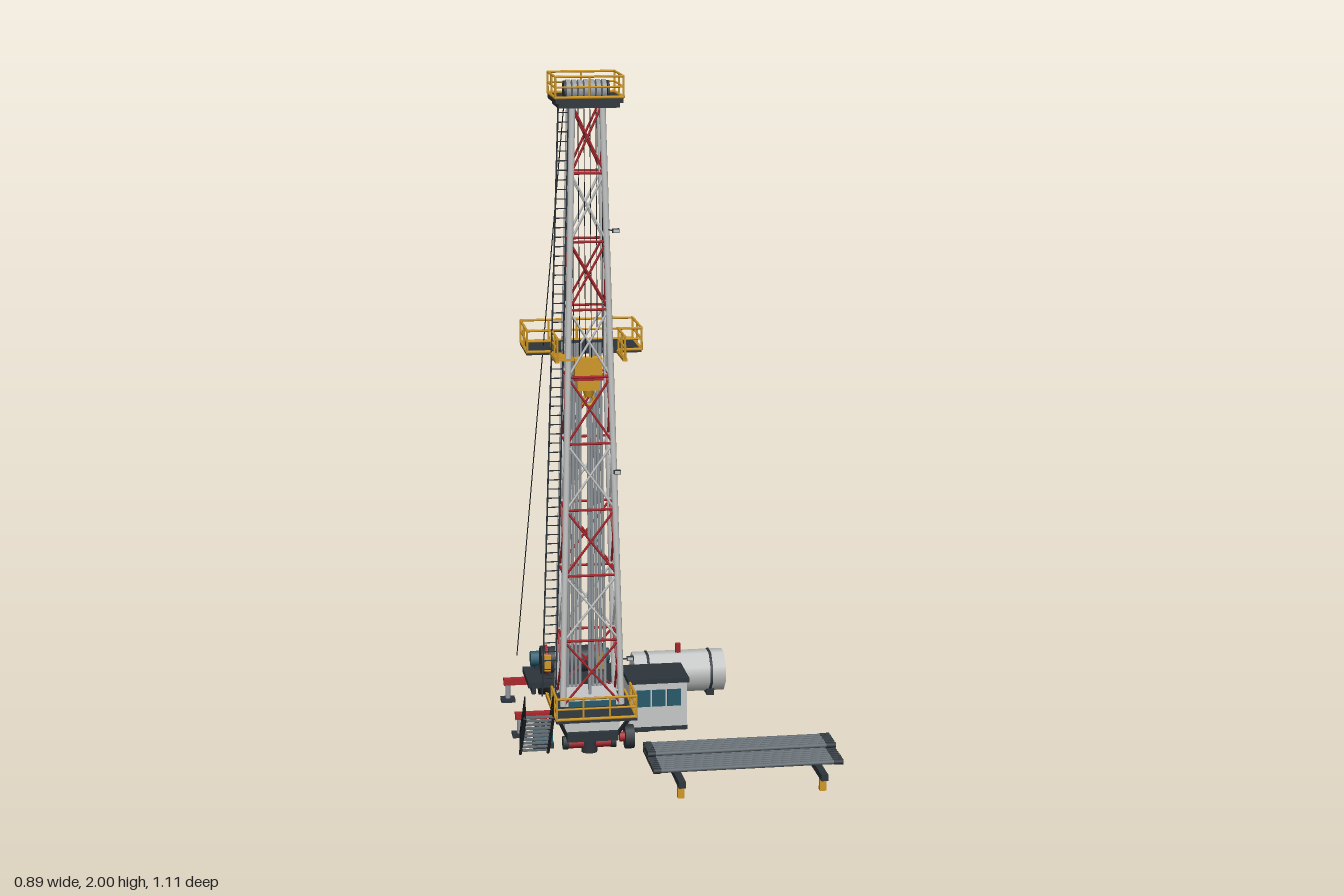
import * as THREE from 'three';

const paint = (name, color) => Object.assign(new THREE.MeshStandardMaterial({ color }), { name });
const M = {
  dark: paint('dark steel', 0x2d353b),
  light: paint('light grey paint', 0xc6c7c7),
  steel: paint('bright steel', 0x949a9f),
  gunmetal: paint('pipe gunmetal', 0x626b71),
  red: paint('red paint', 0xa8262c),
  yellow: paint('safety yellow', 0xd09826),
  teal: paint('teal machinery', 0x28596b),
  black: paint('black rope', 0x1b1d1f),
};
const V = (x, y, z) => new THREE.Vector3(x, y, z);
const UP = V(0, 1, 0);

function group(parent, name) {
  const g = new THREE.Group();
  g.name = name;
  parent.add(g);
  return g;
}
function put(parent, name, geo, mat, x = 0, y = 0, z = 0) {
  const m = new THREE.Mesh(geo, mat);
  m.name = name;
  m.position.set(x, y, z);
  parent.add(m);
  return m;
}
// Box given by its minimum and maximum corners
function box(parent, name, mat, x0, x1, y0, y1, z0, z1) {
  return put(parent, name, new THREE.BoxGeometry(x1 - x0, y1 - y0, z1 - z0), mat,
    (x0 + x1) / 2, (y0 + y1) / 2, (z0 + z1) / 2);
}
// Round bar between two points
function bar(parent, name, mat, a, b, r, sides = 6) {
  const d = b.clone().sub(a), mid = a.clone().add(b).multiplyScalar(0.5);
  const m = put(parent, name, new THREE.CylinderGeometry(r, r, d.length(), sides), mat, mid.x, mid.y, mid.z);
  m.quaternion.setFromUnitVectors(UP, d.normalize());
  return m;
}
// Cylinder lying along x
function drum(parent, name, mat, x0, x1, y, z, r, sides = 12) {
  const geo = new THREE.CylinderGeometry(r, r, x1 - x0, sides).rotateZ(Math.PI / 2).rotateX(Math.PI / sides);
  return put(parent, name, geo, mat, (x0 + x1) / 2, y, z);
}
// Guard rail along a path of [x, z] points
function railing(parent, path, y, h) {
  const g = group(parent, 'guardRail');
  for (let i = 0; i + 1 < path.length; i++) {
    const [ax, az] = path[i], [bx, bz] = path[i + 1];
    for (const [f, r] of [[0.05, 0.0045], [0.52, 0.0032], [1, 0.0038]])
      bar(g, 'rail', M.yellow, V(ax, y + h * f, az), V(bx, y + h * f, bz), r);
    const n = Math.max(1, Math.round(Math.hypot(bx - ax, bz - az) / 0.085));
    for (let k = 0; k <= n; k++) {
      const x = ax + (bx - ax) * k / n, z = az + (bz - az) * k / n;
      bar(g, 'post', M.yellow, V(x, y, z), V(x, y + h, z), 0.0034);
    }
  }
}

const CX = -0.235, CZ = 0.084, Y0 = 0.165, Y1 = 1.915;

function buildChassis(root) {
  const g = group(root, 'chassis');
  box(g, 'mainBeam', M.dark, -0.31, -0.16, 0.058, 0.085, -0.556, 0.17);
  for (const s of [-1, 1]) {
    const x = CX + s * 0.073;
    drum(g, 'wheel', M.black, x - 0.014, x + 0.014, 0.036, -0.49, 0.035, 16);
    drum(g, 'hub', M.steel, x - 0.016, x + 0.016, 0.036, -0.49, 0.013, 10);
  }
  // Outriggers with jacks and pads
  for (const z of [-0.44, -0.09]) {
    box(g, 'outriggerArm', M.red, -0.437, -0.035, 0.053, 0.073, z - 0.011, z + 0.011);
    for (const x of [-0.424, -0.053]) {
      bar(g, 'jack', M.steel, V(x, 0.008, z), V(x, 0.055, z), 0.008, 8);
      box(g, 'pad', M.dark, x - 0.022, x + 0.022, 0, 0.01, z - 0.022, z + 0.022);
    }
  }
}

function buildDrawworks(root) {
  const g = group(root, 'drawworks');
  box(g, 'skid', M.dark, -0.38, -0.094, 0.1, 0.118, -0.41, -0.237);
  for (const x of [-0.365, -0.118]) box(g, 'skidRunner', M.dark, x - 0.006, x + 0.006, 0.085, 0.108, -0.415, -0.226);
  drum(g, 'ropeDrum', M.dark, -0.31, -0.158, 0.163, -0.325, 0.041, 16);
  for (const s of [-1, 1]) {
    const x = CX + s * 0.081;
    drum(g, 'drumFlange', M.red, x - 0.004, x + 0.004, 0.163, -0.325, 0.047, 16);
    drum(g, 'drumCap', M.dark, x + s * 0.01 - 0.007, x + s * 0.01 + 0.007, 0.163, -0.325, 0.044, 16);
    box(g, 'brake', M.yellow, x - 0.01, x + 0.01, 0.14, 0.19, -0.291, -0.276);
    box(g, 'bearingStand', M.dark, x - 0.012, x + 0.012, 0.118, 0.15, -0.35, -0.3);
    // Drive motors behind the drum
    const mx = CX + s * 0.08;
    drum(g, 'motor', M.teal, mx - 0.043, mx + 0.043, 0.15, -0.386, 0.024, 12);
    box(g, 'motorBox', M.dark, mx - 0.012, mx + 0.012, 0.165, 0.182, -0.398, -0.374);
    box(g, 'motorFoot', M.dark, mx - 0.03, mx + 0.03, 0.118, 0.13, -0.4, -0.37);
  }
  box(g, 'gearbox', M.dark, -0.268, -0.207, 0.118, 0.17, -0.41, -0.365);
}

function buildTank(root) {
  const g = group(root, 'tank');
  drum(g, 'tankShell', M.light, -0.03, 0.258, 0.073, -0.44, 0.066, 8);
  for (const x of [0.015, 0.213]) {
    drum(g, 'tankBand', M.dark, x - 0.004, x + 0.004, 0.073, -0.44, 0.068, 8);
    box(g, 'tankSaddle', M.dark, x - 0.012, x + 0.012, 0, 0.02, -0.48, -0.4);
  }
  bar(g, 'valve', M.red, V(0.115, 0.13, -0.44), V(0.115, 0.163, -0.44), 0.009, 10);
}

function buildCabin(root) {
  const g = group(root, 'cabin');
  box(g, 'cabinBase', M.dark, -0.092, 0.085, 0, 0.014, -0.226, -0.074);
  box(g, 'cabinWalls', M.light, -0.092, 0.083, 0.014, 0.15, -0.226, -0.072);
  box(g, 'cabinRoof', M.dark, -0.097, 0.09, 0.15, 0.164, -0.23, -0.068);
  for (const x of [-0.05, -0.003, 0.044])
    box(g, 'frontWindow', M.teal, x - 0.021, x + 0.021, 0.078, 0.13, -0.072, -0.069);
  for (const z of [-0.15, -0.11])
    box(g, 'sideWindow', M.teal, 0.083, 0.086, 0.078, 0.135, z - 0.018, z + 0.018);
}

function buildFloor(root) {
  const g = group(root, 'rigFloor');
  box(g, 'substructure', M.light, -0.315, -0.155, 0.07, 0.183, 0.005, 0.155);
  box(g, 'frontPanel', M.teal, -0.305, -0.165, 0.115, 0.178, 0.155, 0.16);
  for (const x of [-0.153, -0.317]) box(g, 'sidePanel', M.teal, x - 0.003, x + 0.003, 0.125, 0.172, 0.04, 0.122);
  box(g, 'floorPlate', M.dark, -0.355, -0.12, 0.152, 0.162, 0.02, 0.28);
  railing(g, [[-0.353, 0.15], [-0.353, 0.278], [-0.122, 0.278], [-0.122, 0.15]], 0.16, 0.065);
  for (const x of [-0.345, -0.13]) {
    box(g, 'toeBoard', M.yellow, x < CX ? -0.357 : -0.124, x < CX ? -0.351 : -0.118, 0.155, 0.168, 0.02, 0.15);
    bar(g, 'floorBrace', M.dark, V(x, 0.153, 0.23), V(CX + Math.sign(x - CX) * 0.075, 0.072, 0.15), 0.006);
  }
  // Stairs down the side
  const s = group(root, 'stairs');
  for (let i = 0; i < 10; i++) {
    const y = 0.012 + i * 0.016, z = 0.09 + i * 0.0148;
    box(s, 'tread', M.gunmetal, -0.438, -0.36, y, y + 0.004, z - 0.0074, z + 0.0074);
  }
  for (const x of [-0.44, -0.358]) {
    bar(s, 'stringer', M.dark, V(x, 0.002, 0.082), V(x, 0.158, 0.23), 0.005);
    for (const h of [0.035, 0.065]) bar(s, 'handrail', M.black, V(x, 0.004 + h, 0.084), V(x, 0.158 + h, 0.23), 0.0022);
    for (let i = 0; i < 4; i++)
      bar(s, 'handrailPost', M.black, V(x, 0.004 + i * 0.051, 0.084 + i * 0.0487), V(x, 0.069 + i * 0.051, 0.084 + i * 0.0487), 0.0022);
  }
  // Blowout preventer below the floor
  const b = group(root, 'blowoutPreventer');
  bar(b, 'stack', M.dark, V(CX, 0, CZ), V(CX, 0.062, CZ), 0.024, 12);
  drum(b, 'ramBody', M.red, -0.3, -0.17, 0.028, CZ, 0.016, 12);
  for (const x of [-0.306, -0.164]) drum(b, 'ramCap', M.dark, x - 0.008, x + 0.008, 0.03, CZ, 0.02, 12);
  drum(b, 'hoseReel', M.dark, -0.13, -0.103, 0.04, CZ, 0.036, 12);
  drum(b, 'reelCore', M.red, -0.145, -0.1, 0.04, CZ, 0.014, 12);
  // Control unit with accumulator bottles
  box(b, 'controlUnit', M.teal, -0.4, -0.345, 0.035, 0.075, 0.06, 0.098);
  box(b, 'controlFrame', M.dark, -0.403, -0.342, 0.02, 0.035, 0.056, 0.102);
  for (const x of [-0.39, -0.372, -0.354])
    bar(b, 'bottle', M.dark, V(x, 0.07, 0.079), V(x, 0.1, 0.079), 0.0075, 8);
}

function buildMast(root) {
  const g = group(root, 'mast');
  const corner = (y, sx, sz) => {
    const t = (y - Y0) / (Y1 - Y0);
    return V(CX + sx * (0.086 - 0.043 * t), y, CZ + sz * (0.071 - 0.038 * t));
  };
  const ring = [[-1, -1], [1, -1], [1, 1], [-1, 1]];
  const bays = 9, step = (Y1 - Y0) / bays;
  ring.forEach(([sx, sz], i) => {
    const [tx, tz] = ring[(i + 1) % 4];
    bar(g, 'leg', M.light, corner(Y0, sx, sz), corner(Y1, sx, sz), 0.0092, 8);
    for (let k = 0; k < bays; k++) {
      const y = Y0 + k * step, mat = k % 2 ? M.light : M.red;
      bar(g, 'crossBrace', mat, corner(y, sx, sz), corner(y + step, tx, tz), 0.0036);
      bar(g, 'crossBrace', mat, corner(y, tx, tz), corner(y + step, sx, sz), 0.0036);
      if (k) bar(g, 'girt', M.red, corner(y, sx, sz), corner(y, tx, tz), 0.004);
    }
  });
  // Racked pipes and drill string
  for (let i = 0; i < 8; i++) {
    const x = CX + (i < 4 ? -0.056 : 0.02) + (i % 4) * 0.012;
    bar(g, 'rackedPipe', M.steel, V(x, 0.17, 0.026), V(CX + (x - CX) * 0.75, 1.22, 0.046), 0.005);
  }
  bar(g, 'drillString', M.steel, V(CX, 0.06, 0.105), V(CX, 1.06, 0.105), 0.005, 8);
  // Floodlights
  for (const [x, y, z] of [[-0.122, 0.3, 0.15], [-0.158, 0.86, 0.15], [-0.16, 1.56, 0.152]]) {
    box(g, 'floodlight', M.dark, x - 0.01, x + 0.01, y - 0.006, y + 0.006, z - 0.006, z + 0.006);
    box(g, 'floodlightLens', M.light, x - 0.008, x + 0.008, y - 0.004, y + 0.004, z + 0.006, z + 0.008);
    bar(g, 'lightBracket', M.dark, V(x, y, z), corner(y, 1, 1), 0.002);
  }
  // Ladder
  const l = group(root, 'ladder');
  const rung = (t, s) => V(-0.35 + 0.054 * t + s * (0.02 - 0.005 * t), 0.165 + 1.75 * t, 0.05 + 0.015 * t);
  for (const s of [-1, 1]) bar(l, 'ladderRail', M.dark, rung(0, s), rung(1, s), 0.0026);
  for (let i = 1; i < 64; i++) bar(l, 'rung', M.dark, rung(i / 64, -1), rung(i / 64, 1), 0.0018, 5);
  bar(root, 'guyLine', M.black, V(-0.412, 0.2, -0.265), V(-0.298, 1.9, 0.08), 0.0016, 5);
}

function buildBoards(root) {
  // Working platform part way up
  const p = group(root, 'midPlatform');
  box(p, 'platformPlate', M.dark, -0.405, -0.07, 1.188, 1.197, -0.145, 0.04);
  for (const x of [-0.332, -0.138]) box(p, 'platformArm', M.yellow, x - 0.006, x + 0.006, 1.188, 1.197, 0.04, 0.18);
  for (let i = 0; i < 6; i++) box(p, 'pipeFinger', M.yellow, -0.332, -0.28, 1.189, 1.195, 0.05 + i * 0.02, 0.055 + i * 0.02);
  railing(p, [[-0.332, 0.178], [-0.332, 0.04], [-0.403, 0.04], [-0.403, -0.143], [-0.07, -0.143], [-0.07, 0.04], [-0.138, 0.04], [-0.138, 0.178]], 1.194, 0.065);
  // Crown platform and sheaves
  const c = group(root, 'crown');
  box(c, 'crownBeam', M.dark, -0.322, -0.148, 1.908, 1.922, 0.005, 0.163);
  box(c, 'crownPlate', M.dark, -0.332, -0.14, 1.922, 1.936, -0.008, 0.177);
  railing(c, [[-0.332, -0.008], [-0.14, -0.008], [-0.14, 0.176], [-0.332, 0.176], [-0.332, -0.008]], 1.936, 0.061);
  for (let i = 0; i < 7; i++) {
    const x = -0.286 + i * 0.017;
    drum(c, 'sheave', M.steel, x - 0.006, x + 0.006, 1.95, CZ, 0.032, 18);
  }
  for (const x of [-0.296, -0.172]) drum(c, 'sheaveBearing', M.dark, x - 0.003, x + 0.003, 1.95, CZ, 0.03, 8);
  // Travelling block, hook and lines
  const t = group(root, 'travellingBlock');
  box(t, 'blockBody', M.yellow, -0.276, -0.196, 1.137, 1.19, 0.094, 0.126);
  box(t, 'blockBand', M.red, -0.278, -0.194, 1.125, 1.137, 0.092, 0.128);
  box(t, 'blockNeck', M.yellow, -0.268, -0.204, 1.095, 1.125, 0.096, 0.124);
  put(t, 'hookBody', new THREE.CylinderGeometry(0.018, 0.012, 0.02, 10), M.yellow, CX, 1.086, 0.11);
  put(t, 'hook', new THREE.TorusGeometry(0.015, 0.005, 8, 16), M.yellow, CX, 1.066, 0.11);
  for (let i = 0; i < 6; i++) {
    const x = -0.277 + i * 0.017;
    bar(t, 'drillLine', M.black, V(x, 1.19, 0.11), V(x, 1.94, CZ + 0.02), 0.0012, 5);
  }
}

function buildPipeRack(root) {
  const g = group(root, 'pipeRack');
  for (const x of [-0.033, 0.375]) {
    box(g, 'rackBeam', M.dark, x - 0.01, x + 0.01, 0.036, 0.055, 0.2, 0.555);
    for (const z of [0.23, 0.525]) box(g, 'rackFoot', M.yellow, x - 0.009, x + 0.009, 0, 0.036, z - 0.009, z + 0.009);
  }
  // Full lower layer and a half upper layer
  for (let i = 0; i < 18; i++) {
    const z = 0.284 + (i % 12) * 0.0171, y = i < 12 ? 0.063 : 0.079;
    drum(g, 'pipe', M.gunmetal, -0.1, 0.443, y, z, 0.0066, 8);
    drum(g, 'pipePin', M.dark, -0.103, -0.08, y, z, 0.0082, 8);
    drum(g, 'pipeBox', M.dark, 0.418, 0.446, y, z, 0.0082, 8);
  }
}

export function createModel() {
  const root = new THREE.Group();
  root.name = 'drillingRig';
  for (const build of [buildChassis, buildDrawworks, buildTank, buildCabin, buildFloor, buildMast, buildBoards, buildPipeRack]) build(root);
  return root;
}
